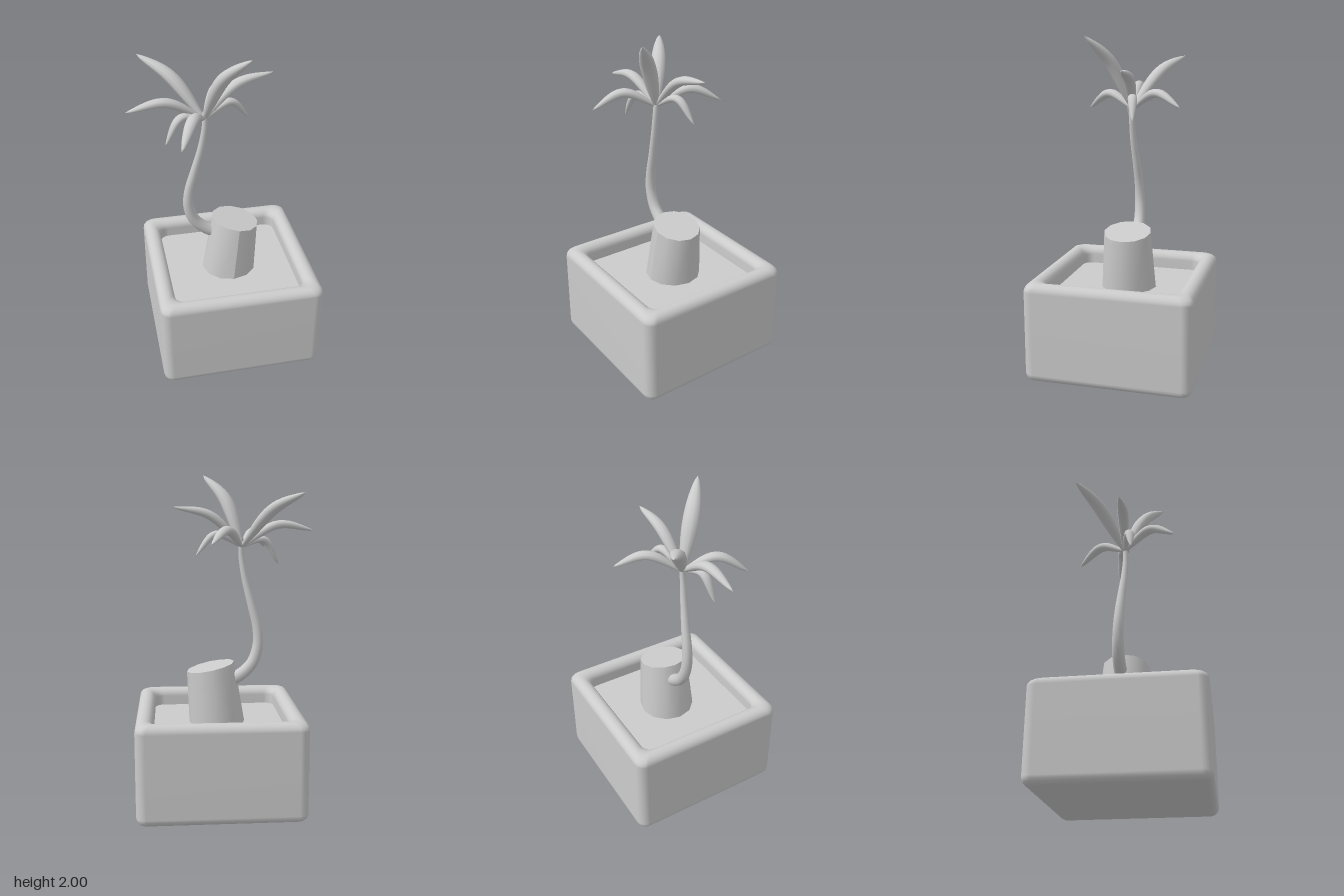
import * as THREE from 'three';

const material = new THREE.MeshStandardMaterial({ color: 0xcccccc });

function addMesh(parent, name, geometry) {
  const mesh = new THREE.Mesh(geometry, material);
  mesh.name = name;
  parent.add(mesh);
  return mesh;
}

// Skin a list of closed rings that all have the same number of points
function loft(rings) {
  const n = rings[0].length;
  const index = [];
  for (let i = 0; i < rings.length - 1; i++) {
    for (let j = 0; j < n; j++) {
      const k = (j + 1) % n;
      const a = i * n + j, b = i * n + k, c = a + n, d = b + n;
      index.push(a, b, c, b, d, c);
    }
  }
  const geometry = new THREE.BufferGeometry();
  geometry.setFromPoints(rings.flat());
  geometry.setIndex(index);
  geometry.computeVertexNormals();
  return geometry;
}

// Horizontal rounded square, half size s, corner radius r
function squareRing(s, y, r) {
  const ring = [];
  for (let k = 0; k < 4; k++) {
    const mid = (k + 0.5) * Math.PI / 2;
    const cx = Math.sign(Math.cos(mid)) * (s - r);
    const cz = Math.sign(Math.sin(mid)) * (s - r);
    for (let i = 0; i <= 4; i++) {
      const a = (k + i / 4) * Math.PI / 2;
      ring.push(new THREE.Vector3(cx + r * Math.cos(a), y, -cz - r * Math.sin(a)));
    }
  }
  return ring;
}

// Elliptical tube along a curve; width and thickness vary with u
function sweep(points, side, width, thickness, segments, sides) {
  const curve = new THREE.CatmullRomCurve3(points.map(p => new THREE.Vector3(...p)));
  const rings = [];
  for (let i = 0; i <= segments; i++) {
    const u = i / segments;
    const centre = curve.getPointAt(u);
    const normal = curve.getTangentAt(u).cross(side).normalize();
    const ring = [];
    for (let j = 0; j < sides; j++) {
      const a = j / sides * Math.PI * 2;
      ring.push(centre.clone()
        .addScaledVector(side, width(u) * Math.cos(a))
        .addScaledVector(normal, thickness(u) * Math.sin(a)));
    }
    rings.push(ring);
  }
  return loft(rings);
}

function createPlanter(group) {
  // Wall profile: underside, rounded foot, outer wall, rounded rim, inner wall
  const rings = [squareRing(0.002, 0, 0.001)];
  const e = 0.05, steps = 5;
  for (let i = 0; i <= steps; i++) {
    const a = i / steps * Math.PI / 2;
    const s = 0.5 - e + e * Math.sin(a);
    rings.push(squareRing(s, e - e * Math.cos(a), 0.015 + 0.045 * Math.sin(a)));
  }
  for (let i = 0; i <= 2 * steps; i++) {
    const a = i / steps * Math.PI / 2;
    const s = 0.448 + 0.052 * Math.cos(a);
    rings.push(squareRing(s, 0.55 + e * Math.sin(a), 0.06));
  }
  rings.push(squareRing(0.396, 0.45, 0.06));
  addMesh(group, 'planterBox', loft(rings)).position.x = 0.045;

  const soil = addMesh(group, 'soil', new THREE.PlaneGeometry(0.82, 0.82));
  soil.rotation.x = -Math.PI / 2;
  soil.position.set(0.045, 0.49, 0);
}

function createStump(group) {
  // Tapered cylinder, leaning, with a slanted top
  const geometry = new THREE.CylinderGeometry(0.145, 0.173, 1, 12);
  const p = geometry.attributes.position;
  for (let i = 0; i < p.count; i++) {
    const top = p.getY(i) > 0;
    const x = p.getX(i);
    p.setXYZ(i, x + (top ? 0.092 : 0.05), top ? 0.84 - 0.21 * x : 0.46, p.getZ(i) - 0.018);
  }
  geometry.computeVertexNormals();
  addMesh(group, 'stump', geometry);
}

function createTrunk(group) {
  const path = [
    [0.0, 0.74, -0.03], [-0.09, 0.785, -0.032], [-0.165, 0.86, -0.03], [-0.2, 0.97, -0.025],
    [-0.195, 1.08, -0.02], [-0.16, 1.22, -0.012], [-0.12, 1.38, 0], [-0.097, 1.53, 0.005],
    [-0.097, 1.62, 0],
  ];
  const radius = u => 0.042 - 0.028 * u;
  addMesh(group, 'trunk', sweep(path, new THREE.Vector3(0, 0, 1), radius, radius, 32, 12));
}

function createLeaves(group) {
  const crown = new THREE.Group();
  crown.name = 'crown';
  group.add(crown);
  const base = [-0.1, 1.57, 0];
  // Midpoint, tip and size of each frond
  const fronds = [
    [[-0.27, 1.79, -0.135], [-0.44, 1.885, -0.26], 1.1],
    [[-0.32, 1.70, 0.02], [-0.545, 1.665, 0.03], 0.85],
    [[-0.24, 1.61, 0.045], [-0.335, 1.46, 0.07], 0.7],
    [[-0.19, 1.655, 0.17], [-0.28, 1.555, 0.33], 0.85],
    [[-0.01, 1.85, 0.115], [0.12, 2.0, 0.235], 1.2],
    [[0.09, 1.755, -0.025], [0.31, 1.805, -0.04], 0.9],
    [[0.06, 1.645, -0.04], [0.18, 1.52, -0.07], 0.7],
    [[0.0, 1.67, -0.17], [0.1, 1.595, -0.33], 0.85],
  ];
  const shape = u => (0.3 + 0.7 * Math.sin(Math.PI * u)) * Math.sqrt(1 - u ** 14) + 0.001;
  for (const [mid, tip, size] of fronds) {
    const side = new THREE.Vector3(tip[2] - base[2], 0, base[0] - tip[0]).normalize();
    addMesh(crown, 'frond', sweep([base, mid, tip], side,
      u => 0.04 * size * shape(u), u => 0.031 * size * shape(u), 18, 10));
  }
}

export function createModel() {
  const group = new THREE.Group();
  group.name = 'pottedPalm';
  createPlanter(group);
  createStump(group);
  createTrunk(group);
  createLeaves(group);
  return group;
}
